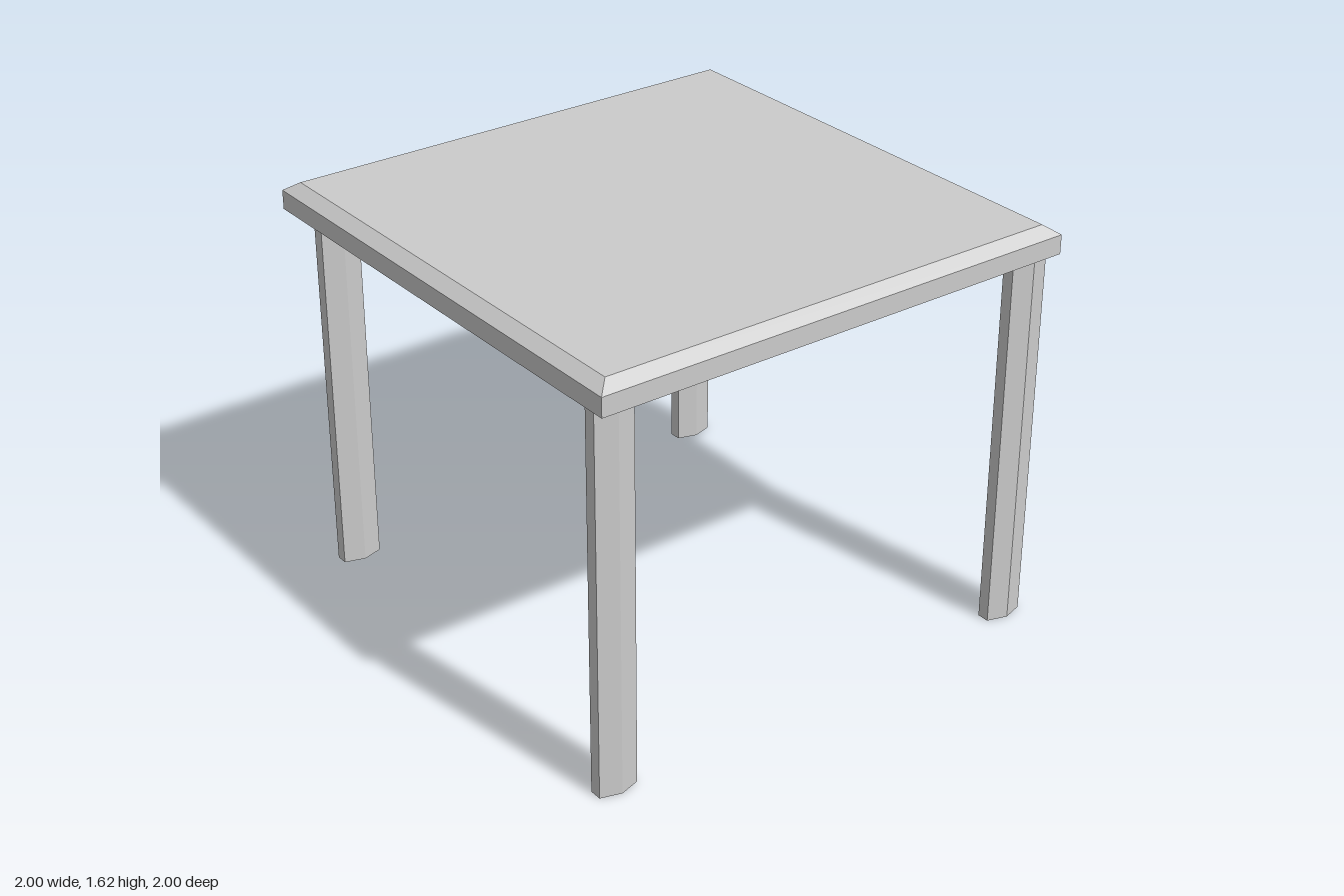
import * as THREE from 'three';

const material = new THREE.MeshStandardMaterial({ color: 0xcccccc, flatShading: true });

const UNDERSIDE = 1.515; // height of the legs, where the top begins

// Square slab with a bevelled upper edge: a four-sided lathe turned to face the axes
function createTableTop() {
  const profile = [
    [0, UNDERSIDE], [1, UNDERSIDE], [1, 1.59], [0.95, 1.625], [0, 1.625],
  ].map(([halfWidth, y]) => new THREE.Vector2(halfWidth * Math.SQRT2, y));
  const top = new THREE.Mesh(new THREE.LatheGeometry(profile, 4, Math.PI / 4), material);
  top.name = 'tableTop';
  return top;
}

// Six-sided post, stretched from front to back
function createLegGeometry() {
  const radiusX = 0.048;
  const halfDepth = 0.08;
  const leg = new THREE.CylinderGeometry(1, 1, UNDERSIDE, 6, 1, false, Math.PI / 2);
  leg.scale(radiusX, 1, halfDepth / Math.sin(Math.PI / 3));
  leg.translate(0, UNDERSIDE / 2, 0);
  return leg;
}

export function createModel() {
  const table = new THREE.Group();
  table.name = 'table';
  table.add(createTableTop());

  // The right-hand pair of legs stands slightly closer together than the left-hand pair
  const legGeometry = createLegGeometry();
  for (const [side, x, spread] of [['Left', 0.918, 0.91], ['Right', -0.918, 0.83]]) {
    for (const [end, sign] of [['front', 1], ['back', -1]]) {
      const leg = new THREE.Mesh(legGeometry, material);
      leg.name = `${end}${side}Leg`;
      leg.position.set(x, 0, sign * spread);
      table.add(leg);
    }
  }
  return table;
}
